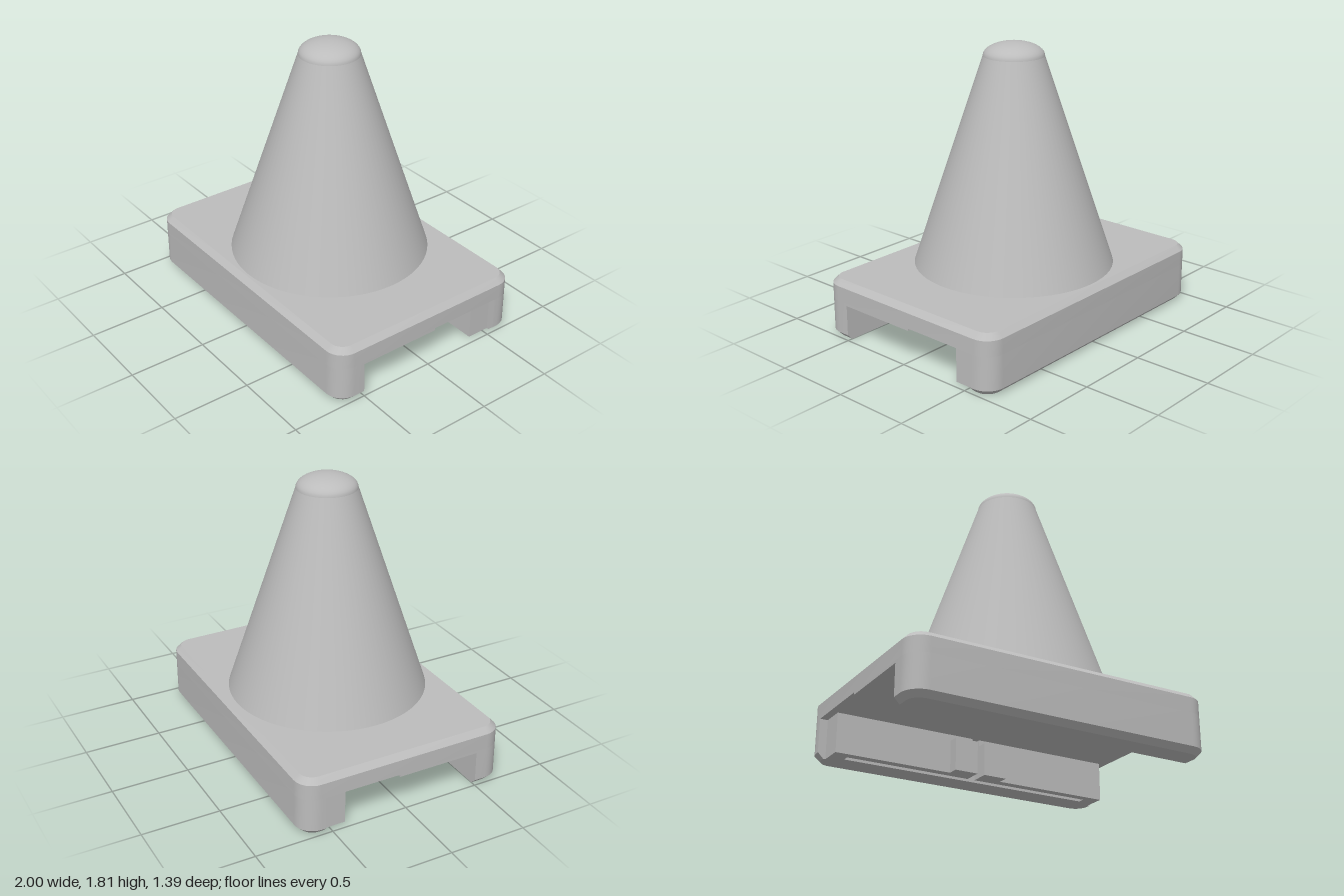
import * as THREE from 'three';
import { toCreasedNormals } from 'three/addons/utils/BufferGeometryUtils.js';

const HX = 1, HZ = 0.693, R = 0.12, BEVEL = 0.036;
const TOP = 0.385, CEILING = 0.25;

// Corner arc of the rounded base outline, starting at the given quarter turn
function cornerArc(quarter, inset) {
  const sx = quarter === 0 || quarter === 3 ? 1 : -1;
  const sz = quarter < 2 ? 1 : -1;
  const pts = [];
  for (let i = 0; i <= 8; i++) {
    const a = (quarter + i / 8) * Math.PI / 2;
    pts.push([sx * (HX - R) + (R - inset) * Math.cos(a), sz * (HZ - R) + (R - inset) * Math.sin(a)]);
  }
  return pts;
}

// Whole plate outline, or the part beyond a straight inner wall
const plateOutline = (d) => [0, 1, 2, 3].flatMap((q) => cornerArc(q, d));
const frontOutline = (d) => [[HX - d, 0.5], ...cornerArc(0, d), ...cornerArc(1, d), [-HX + d, 0.5]];
const backOutline = (d) => [[-HX + d, -0.543], ...cornerArc(2, d), ...cornerArc(3, d), [HX - d, -0.543]];

// Closed solid through convex outlines at [height, inset] levels
function loft(outline, levels) {
  const pos = [], idx = [];
  const n = outline(0).length;
  for (const [y, d] of levels) for (const [x, z] of outline(d)) pos.push(x, y, z);
  for (let l = 0; l < levels.length - 1; l++) {
    for (let i = 0; i < n; i++) {
      const a = l * n + i, b = l * n + (i + 1) % n;
      idx.push(a, a + n, b, b, a + n, b + n);
    }
  }
  const t = (levels.length - 1) * n;
  for (let i = 1; i < n - 1; i++) {
    idx.push(0, i, i + 1);
    idx.push(t, t + i + 1, t + i);
  }
  const g = new THREE.BufferGeometry();
  g.setAttribute('position', new THREE.Float32BufferAttribute(pos, 3));
  g.setIndex(idx);
  return toCreasedNormals(g, 0.5);
}

export function createModel() {
  const group = new THREE.Group();
  const grey = new THREE.MeshStandardMaterial({ color: 0xbcbcbc });
  grey.name = 'grey plastic';

  const add = (name, geometry) => {
    const mesh = new THREE.Mesh(geometry, grey);
    mesh.name = name;
    group.add(mesh);
    return mesh;
  };
  const box = (name, x0, x1, y0, y1, z0, z1) =>
    add(name, new THREE.BoxGeometry(x1 - x0, y1 - y0, z1 - z0))
      .position.set((x0 + x1) / 2, (y0 + y1) / 2, (z0 + z1) / 2);

  // Base: top plate and two side walls around an open channel
  add('basePlate', loft(plateOutline, [[CEILING, 0], [TOP - BEVEL, 0], [TOP, BEVEL]]));
  const wallLevels = [[0, BEVEL], [BEVEL, 0], [CEILING, 0]];
  add('frontWall', loft(frontOutline, wallLevels));
  add('backWall', loft(backOutline, wallLevels));
  box('channelCeilingStep', -HX, HX, 0.235, CEILING, -0.045, 0.5);

  // Spring clip: a bar with a long slot, split in the middle
  const half = [[0.95, 0.545], [0.95, 0.39], [0.025, 0.39], [0.025, 0.445], [0.85, 0.445], [0.85, 0.49]];
  const mirrored = half.map(([x, y]) => [-x, y]).reverse();
  const clipShape = new THREE.Shape([...half, ...mirrored].map(([x, y]) => new THREE.Vector2(x, y)));
  const clip = new THREE.ExtrudeGeometry(clipShape, { depth: CEILING, bevelEnabled: false });
  clip.rotateX(-Math.PI / 2);
  add('springClip', clip);
  box('leftClipTab', 0.025, 0.18, 0, 0.21, -0.39, -0.318);
  box('rightClipTab', -0.18, -0.025, 0, 0.21, -0.39, -0.318);

  // Cone with a flattened dome on top
  const coneProfile = [new THREE.Vector2(0.64, TOP), new THREE.Vector2(0.192, 1.725)];
  add('cone', new THREE.LatheGeometry(coneProfile, 64));
  const domeProfile = [];
  for (let i = 0; i <= 12; i++) {
    const a = i / 12 * Math.PI / 2;
    domeProfile.push(new THREE.Vector2(i === 12 ? 0 : 0.192 * Math.cos(a), 1.725 + 0.087 * Math.sin(a)));
  }
  add('coneTip', new THREE.LatheGeometry(domeProfile, 64));

  return group;
}
